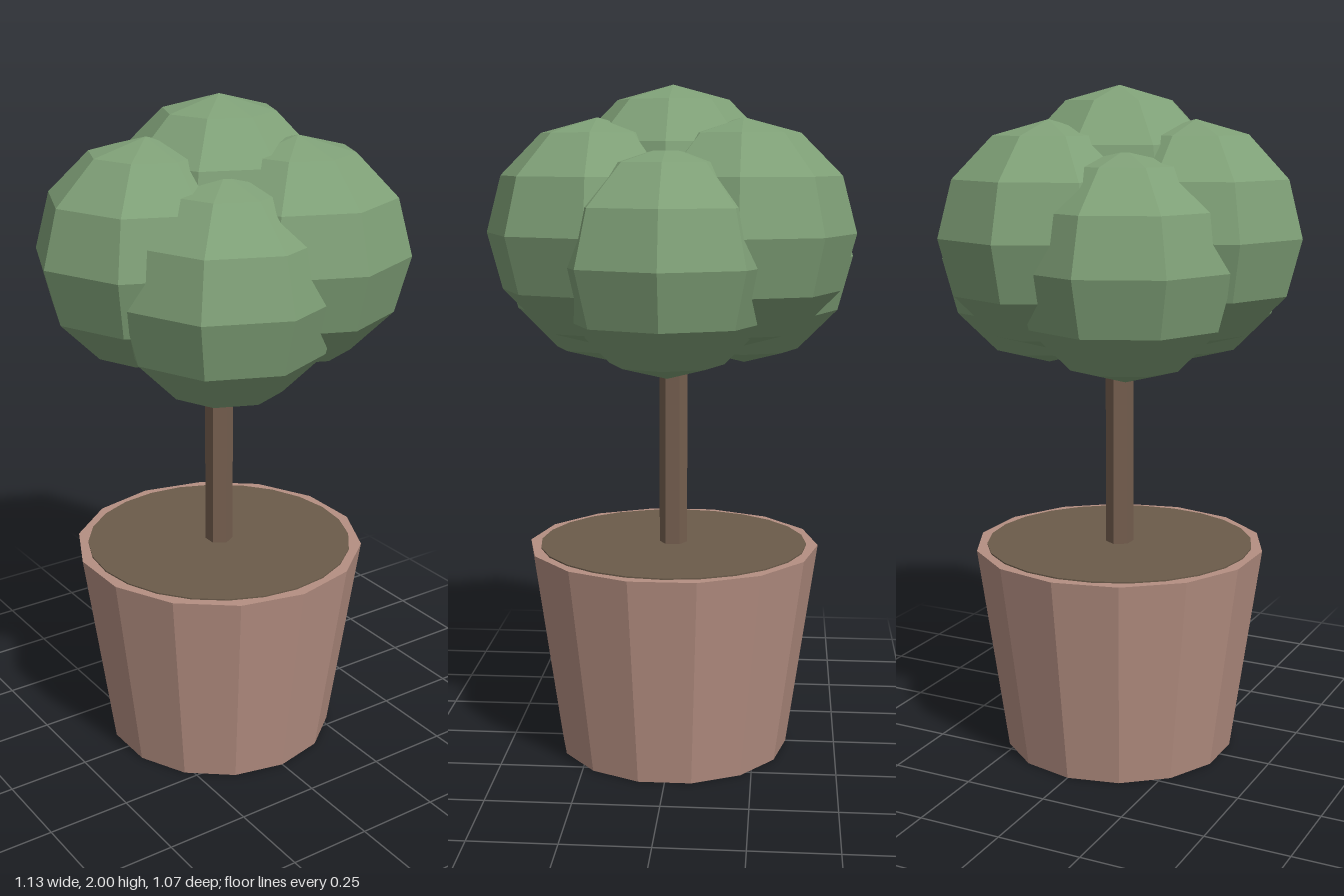
import * as THREE from 'three';

function material(name, color) {
  const m = new THREE.MeshStandardMaterial({ color });
  m.name = name;
  m.flatShading = true;
  return m;
}

export function createModel() {
  const group = new THREE.Group();
  group.name = 'pottedTree';

  const clay = material('clay', 0xb58f82);
  const earth = material('earth', 0x6b5b4a);
  const bark = material('bark', 0x755f4f);
  const leaf = material('leaf', 0x7fa077);

  function add(name, geometry, mat, x, y, z) {
    const mesh = new THREE.Mesh(geometry, mat);
    mesh.name = name;
    mesh.position.set(x, y, z);
    group.add(mesh);
    return mesh;
  }

  // Tapered fourteen-sided pot with a thin layer of soil on top
  const potHeight = 0.632;
  add('pot', new THREE.CylinderGeometry(0.44, 0.35, potHeight, 14), clay, 0, potHeight / 2, 0);
  add('soil', new THREE.CylinderGeometry(0.405, 0.405, 0.008, 24), earth, 0, potHeight, 0);

  // Hexagonal trunk reaching into the crown
  const trunkHeight = 0.95;
  add('trunk', new THREE.CylinderGeometry(0.042, 0.042, trunkHeight, 6), bark,
    0, potHeight + trunkHeight / 2, 0);

  // Crown: one clump on top, six around it at alternating heights
  const clump = new THREE.SphereGeometry(0.325, 8, 6);
  add('topClump', clump, leaf, 0, 1.675, 0);
  for (let i = 0; i < 6; i++) {
    const a = (i * Math.PI) / 3;
    add('sideClump' + (i + 1), clump, leaf,
      0.24 * Math.cos(a), i % 2 ? 1.58 : 1.5, 0.24 * Math.sin(a));
  }

  return group;
}
